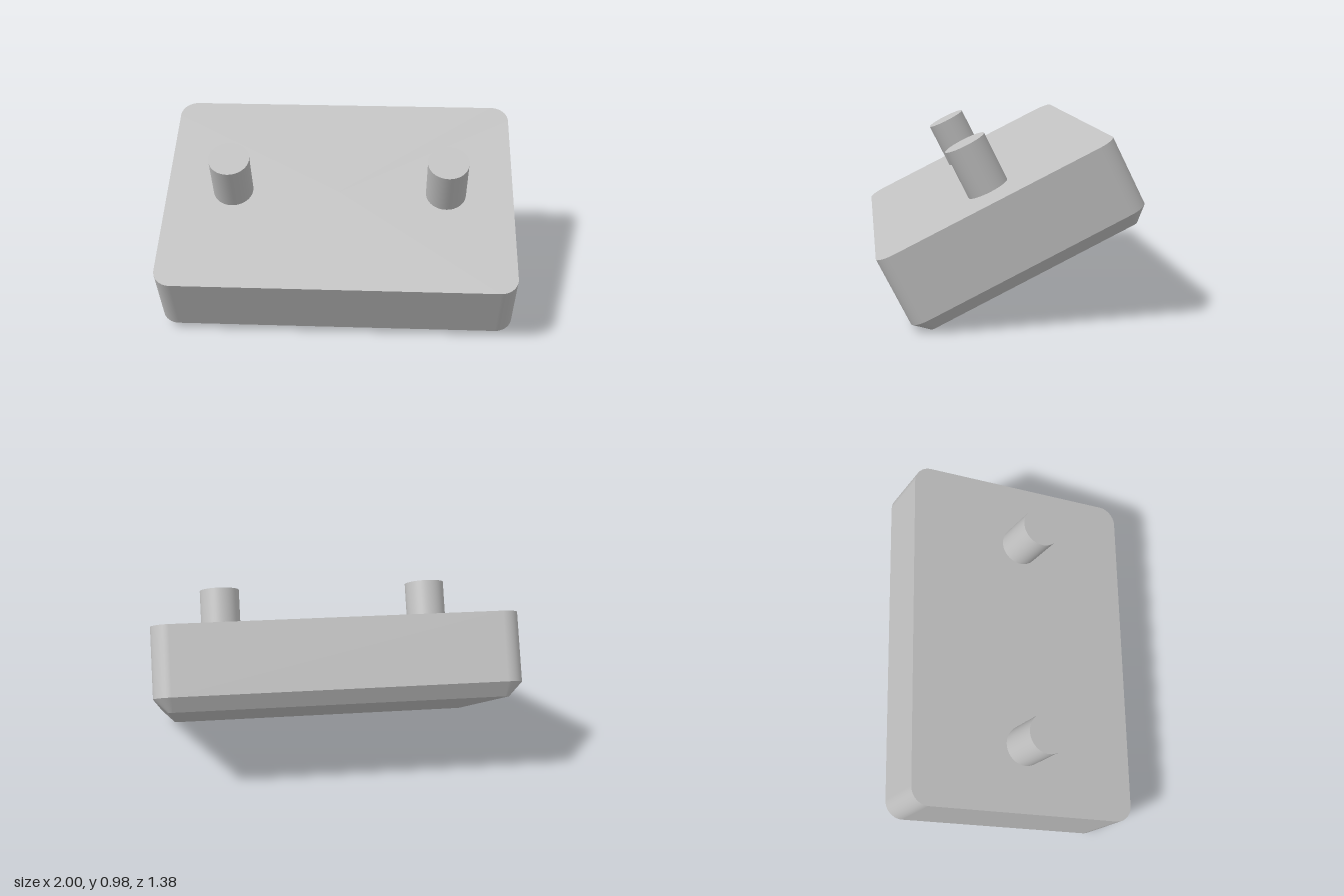
import * as THREE from 'three';

const HALF_W = 1, HALF_D = 0.6765, RADIUS = 0.1;
const WALL = 0.385, CHAMFER = 0.076;
const TILT = Math.atan(0.5);

// Rounded rectangle loop, pulled inwards by inset, with its outward directions
function roundedLoop(inset, y) {
  const steps = 10, r = RADIUS - inset, loop = [];
  [[1, 1], [-1, 1], [-1, -1], [1, -1]].forEach(([sx, sz], corner) => {
    for (let i = 0; i <= steps; i++) {
      const a = (corner + i / steps) * Math.PI / 2;
      const nx = Math.cos(a), nz = Math.sin(a);
      loop.push({
        p: [sx * (HALF_W - RADIUS) + r * nx, y, sz * (HALF_D - RADIUS) + r * nz],
        n: [nx, nz],
      });
    }
  });
  return loop;
}

// Block from three loops: straight wall, 45 degree chamfer, flat caps
function blockGeometry() {
  const pos = [], nor = [], index = [];
  const add = (p, n) => {
    pos.push(...p);
    nor.push(...new THREE.Vector3(...n).normalize().toArray());
    return pos.length / 3 - 1;
  };
  const strip = (upper, lower, ny) => {
    const ids = upper.map((u, i) => {
      const n = [u.n[0], ny, u.n[1]];
      return [add(u.p, n), add(lower[i].p, n)];
    });
    ids.forEach(([u, l], i) => {
      const [u2, l2] = ids[(i + 1) % ids.length];
      index.push(u, u2, l2, u, l2, l);
    });
  };
  const cap = (loop, ny) => {
    const c = add([0, loop[0].p[1], 0], [0, ny, 0]);
    const ids = loop.map(v => add(v.p, [0, ny, 0]));
    ids.forEach((a, i) => {
      const b = ids[(i + 1) % ids.length];
      index.push(c, ...(ny > 0 ? [b, a] : [a, b]));
    });
  };
  const top = roundedLoop(0, 0);
  const middle = roundedLoop(0, -WALL);
  const bottom = roundedLoop(CHAMFER, -WALL - CHAMFER);
  strip(top, middle, 0);
  strip(middle, bottom, -1);
  cap(top, 1);
  cap(bottom, -1);
  const g = new THREE.BufferGeometry();
  g.setAttribute('position', new THREE.Float32BufferAttribute(pos, 3));
  g.setAttribute('normal', new THREE.Float32BufferAttribute(nor, 3));
  g.setIndex(index);
  return g;
}

export function createModel() {
  const model = new THREE.Group();
  model.name = 'peggedBlock';
  const grey = new THREE.MeshStandardMaterial({ color: 0xc0c0c0 });
  grey.name = 'light grey';

  // Everything is tilted together, with the origin at the middle of the top face
  const tilted = new THREE.Group();
  tilted.name = 'tiltedBlock';
  tilted.position.set(0, 0.682, 0.085);
  tilted.rotation.x = TILT;
  model.add(tilted);

  const block = new THREE.Mesh(blockGeometry(), grey);
  block.name = 'block';
  tilted.add(block);

  // Two pegs standing on the top face
  const pegGeometry = new THREE.CylinderGeometry(0.115, 0.115, 0.277, 48);
  for (const [name, side] of [['leftPeg', 1], ['rightPeg', -1]]) {
    const peg = new THREE.Mesh(pegGeometry, grey);
    peg.name = name;
    peg.position.set(side * 0.615, 0.1385, 0);
    tilted.add(peg);
  }
  return model;
}
